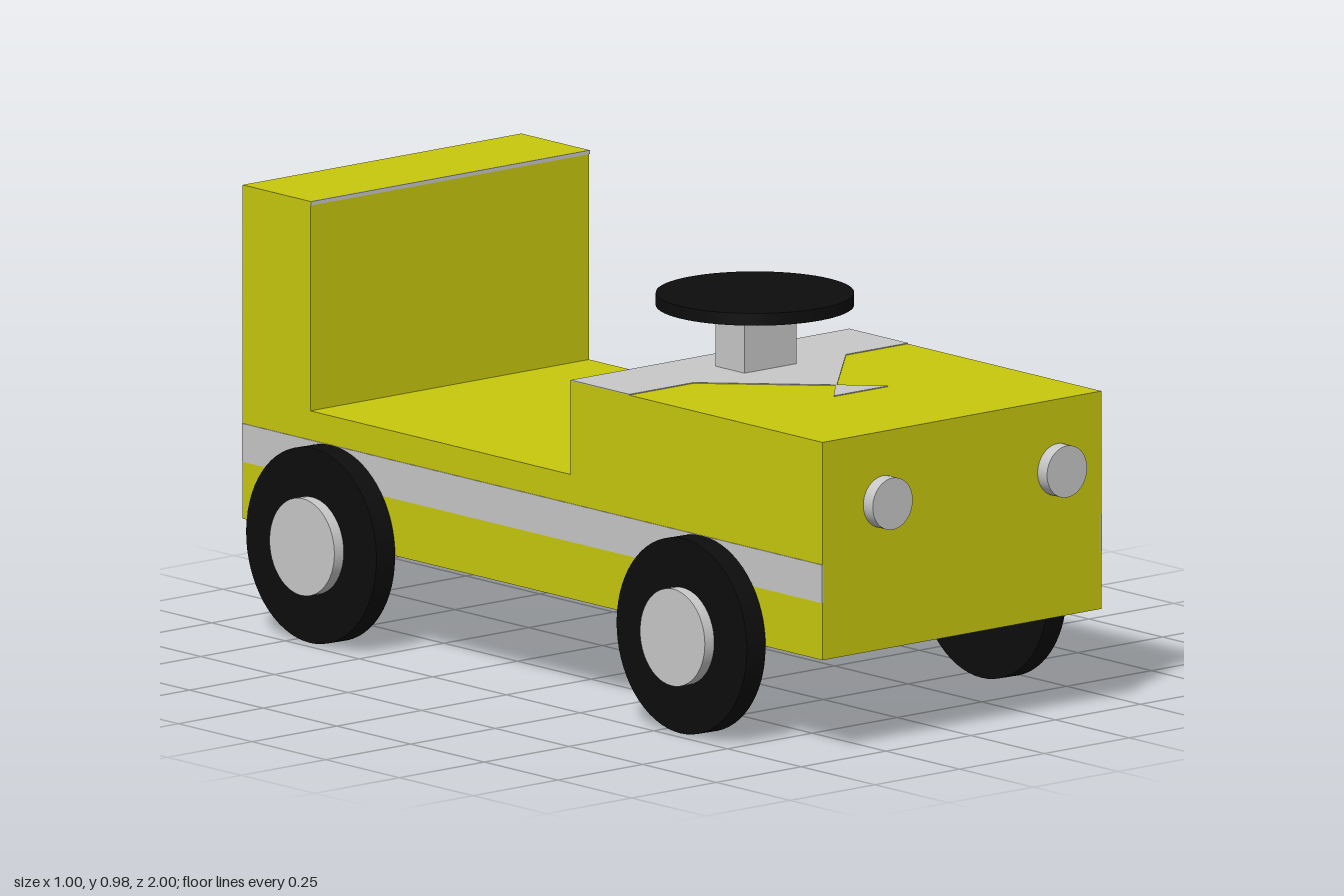
import * as THREE from 'three';

const yellow = new THREE.MeshStandardMaterial({ color: 0xc8c80e });
yellow.name = 'yellow paint';
const grey = new THREE.MeshStandardMaterial({ color: 0xc8c8c8 });
grey.name = 'light grey';
const black = new THREE.MeshStandardMaterial({ color: 0x0d0d0d });
black.name = 'black rubber';

const LEFT = 0.413, RIGHT = -0.409;
const WIDTH = LEFT - RIGHT, MID = (LEFT + RIGHT) / 2;

export function createModel() {
  const model = new THREE.Group();
  model.name = 'toyCar';

  const add = (name, geometry, material, x = 0, y = 0, z = 0, parent = model) => {
    const mesh = new THREE.Mesh(geometry, material);
    mesh.name = name;
    mesh.position.set(x, y, z);
    parent.add(mesh);
    return mesh;
  };
  // box given by its lower and upper limits
  const addBox = (name, material, [x0, y0, z0], [x1, y1, z1]) =>
    add(name, new THREE.BoxGeometry(x1 - x0, y1 - y0, z1 - z0), material,
      (x0 + x1) / 2, (y0 + y1) / 2, (z0 + z1) / 2);
  const shapeOf = (points) => new THREE.Shape(points.map(([a, b]) => new THREE.Vector2(a, b)));

  // body: side profile (z, y) with hood, low seat and tall backrest
  const profile = shapeOf([
    [-1, 0.225], [0.968, 0.225], [0.968, 0.721], [0.113, 0.721],
    [0.113, 0.508], [-0.77, 0.508], [-0.77, 0.985], [-1, 0.985],
  ]);
  const body = new THREE.ExtrudeGeometry(profile, { depth: WIDTH, bevelEnabled: false });
  body.rotateY(-Math.PI / 2);
  add('body', body, yellow, LEFT);

  // stripes on both sides and the back
  const T = 0.002;
  addBox('leftStripe', grey, [LEFT - T, 0.355, -1], [LEFT + T, 0.442, 0.968]);
  addBox('rightStripe', grey, [RIGHT - T, 0.355, -1], [RIGHT + T, 0.442, 0.968]);
  addBox('backStripe', grey, [RIGHT, 0.355, -1 - T], [LEFT, 0.442, -1 + T]);

  // grey dashboard face and backrest edge trim
  addBox('dashboard', grey, [RIGHT, 0.509, 0.113 - T], [LEFT, 0.721, 0.113 + T]);
  addBox('backrestTrim', grey, [RIGHT, 0.976, -0.77 - T], [LEFT, 0.985, -0.77 + T]);

  // painted band on the hood, running into a bow-shaped point
  const paint = (name, points) => {
    const g = new THREE.ExtrudeGeometry(shapeOf(points), { depth: 2 * T, bevelEnabled: false });
    g.rotateX(Math.PI / 2);
    add(name, g, grey, 0, 0.721 + T, 0);
  };
  paint('hoodBand', [
    [RIGHT, 0.113], [LEFT, 0.113], [LEFT, 0.312], [0.23, 0.312],
    [0.005, 0.54], [-0.22, 0.312], [RIGHT, 0.312],
  ]);
  paint('hoodBowTip', [[0.005, 0.535], [0.085, 0.622], [-0.075, 0.622]].reverse()
    .slice(0, 1).concat([[0.085, 0.622], [0.005, 0.535]]));

  // steering post and wheel
  addBox('steeringPost', grey, [-0.07, 0.715, 0.215], [0.083, 0.862, 0.313]);
  add('steeringWheel', new THREE.CylinderGeometry(0.221, 0.221, 0.028, 64), black, 0.005, 0.874, 0.262);

  // headlights
  for (const [name, x] of [['rightHeadlight', -0.23], ['leftHeadlight', 0.284]]) {
    const lamp = new THREE.CylinderGeometry(0.059, 0.059, 0.036, 48);
    lamp.rotateX(Math.PI / 2);
    add(name, lamp, grey, x, 0.561, 0.982);
  }

  // slightly leaning wheels with hubs
  const tyre = new THREE.CylinderGeometry(0.221, 0.221, 0.055, 64).rotateZ(Math.PI / 2);
  const hub = new THREE.CylinderGeometry(0.11, 0.11, 0.04, 48).rotateZ(Math.PI / 2);
  for (const [end, z] of [['front', 0.562], ['back', -0.695]]) {
    for (const [sideName, s] of [['Left', 1], ['Right', -1]]) {
      const wheel = new THREE.Group();
      wheel.name = `${end}${sideName}Wheel`;
      wheel.position.set(s * 0.444, 0.222, z);
      wheel.rotation.z = -0.02;
      add('tyre', tyre, black, 0, 0, 0, wheel);
      add('hub', hub, grey, s * 0.035, 0, 0, wheel);
      model.add(wheel);
    }
  }
  return model;
}
